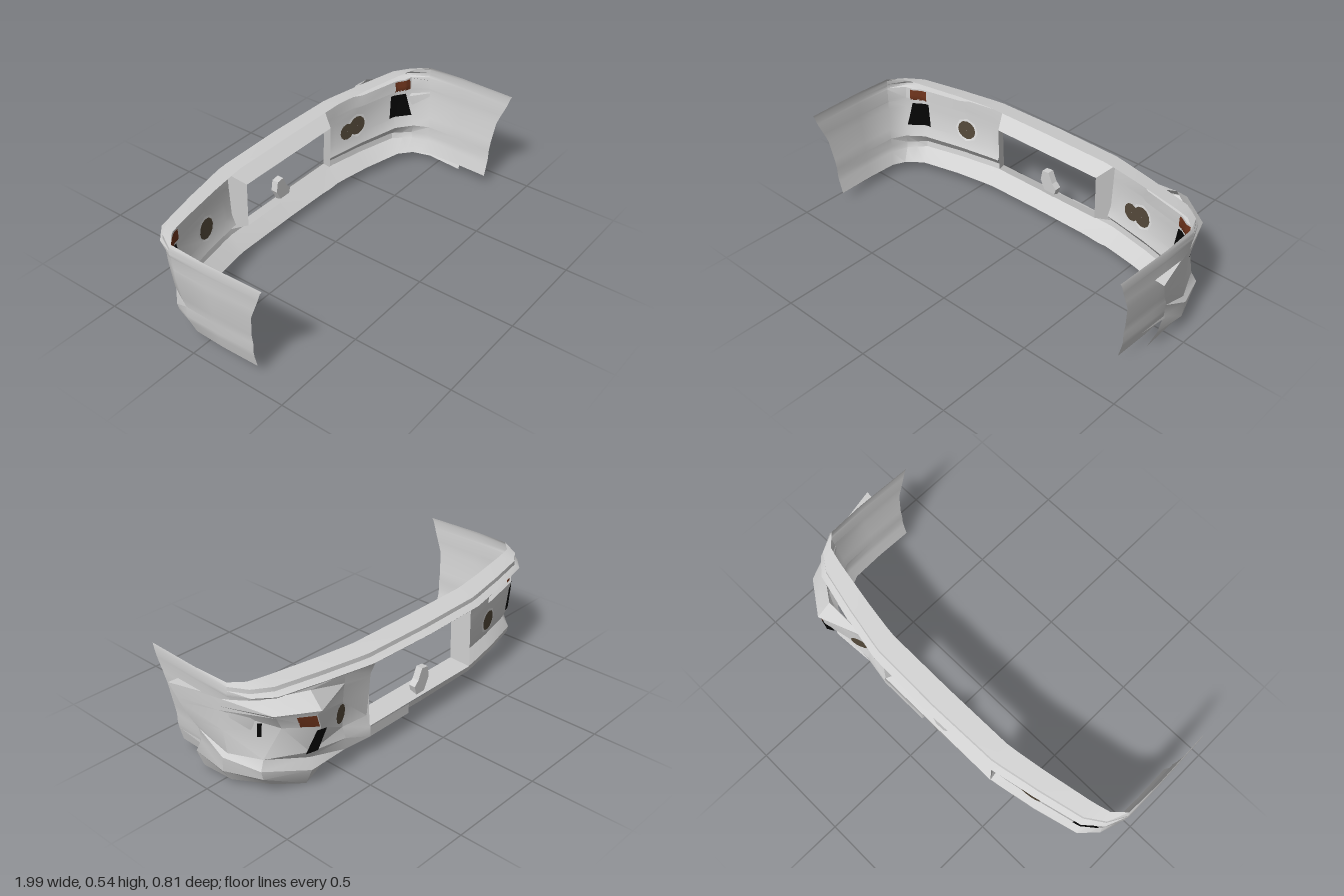
import * as THREE from 'three';
import { toCreasedNormals } from 'three/addons/utils/BufferGeometryUtils.js';

const CX = -0.03; // centre line of the undamaged shell

// Plan stations for one half: outer x, outer z, inner x, inner z, side blend
const STATIONS = [
  [0, -0.385, 0, -0.245, 0], [0.36, -0.376, 0.36, -0.242, 0], [0.42, -0.365, 0.42, -0.235, 0],
  [0.56, -0.335, 0.55, -0.215, 0], [0.6, -0.328, 0.59, -0.208, 0], [0.84, -0.27, 0.79, -0.16, 0.1],
  [0.88, -0.235, 0.83, -0.13, 0.3], [0.92, -0.2, 0.87, -0.1, 0.5], [0.965, -0.1, 0.9, -0.04, 0.9],
  [0.965, 0.1, 0.905, 0.12, 1], [0.955, 0.4, 0.9, 0.31, 1],
];
// Section rows: y, inset at the front, inset at the sides, z of the free end
const ROWS = [
  [0.54, 1, 0.1, 0.4], [0.525, 0.3, 0.05, 0.392], [0.505, 0.28, 0.05, 0.385], [0.49, 0.04, 0.05, 0.38],
  [0.482, 0.1, 0.06, 0.377], [0.475, 0.35, 0.07, 0.375], [0.415, 0.38, 0.15, 0.35], [0.405, 0.38, 0.15, 0.346],
  [0.365, 0.4, 0.2, 0.33], [0.25, 0.45, 0.45, 0.315], [0.2, 0.62, 0.6, 0.313], [0.15, 0.3, 0.6, 0.312],
  [0.12, 0.34, 0.7, 0.311], [0.055, 0.9, 1, 0.31],
];
const lerp = THREE.MathUtils.lerp;

// Shell grid for one side, with the signal recess
function shellGrid(s) {
  return STATIONS.map(([ox, oz, ix, iz, blend], i) => ROWS.map(([y, kf, ks, end], j) => {
    const k = lerp(kf, ks, blend);
    let z = i === STATIONS.length - 1 ? end : lerp(oz, iz, k);
    if (i > 3 && i < 7 && (j === 5 || j === 6)) z += 0.02;
    return [CX + s * lerp(ox, ix, k), y, z];
  }));
}

// Crushed outer skin: columns from the opening round to the torn edge
const CRUSHED = [
  [[0.33, 0.49, -0.372], [0.33, 0.43, -0.345], [0.33, 0.41, -0.342], [0.33, 0.33, -0.335], [0.33, 0.2, -0.32], [0.33, 0.15, -0.345], [0.33, 0.1, -0.345], [0.3, 0.035, -0.27]],
  [[0.47, 0.48, -0.325], [0.47, 0.43, -0.322], [0.47, 0.41, -0.318], [0.47, 0.33, -0.31], [0.47, 0.2, -0.305], [0.47, 0.15, -0.325], [0.47, 0.09, -0.32], [0.5, 0.055, -0.26]],
  [[0.68, 0.495, -0.33], [0.69, 0.43, -0.405], [0.7, 0.412, -0.388], [0.68, 0.337, -0.387], [0.7, 0.2, -0.338], [0.68, 0.15, -0.31], [0.69, 0.1, -0.336], [0.68, 0, -0.285]],
  [[0.86, 0.475, -0.21], [0.855, 0.428, -0.29], [0.84, 0.412, -0.29], [0.8, 0.34, -0.275], [0.865, 0.19, -0.225], [0.89, 0.145, -0.235], [0.88, 0.1, -0.235], [0.82, 0.04, -0.225]],
  [[0.94, 0.46, -0.07], [0.945, 0.42, -0.05], [0.945, 0.4, -0.05], [0.938, 0.3, -0.06], [0.93, 0.185, -0.07], [0.95, 0.168, -0.06], [0.945, 0.09, -0.05], [0.9, 0.022, -0.05]],
  [[1, 0.455, 0.205], [0.985, 0.39, 0.175], [0.98, 0.365, 0.165], [0.965, 0.3, 0.125], [0.945, 0.245, 0.09], [0.94, 0.18, 0.09], [0.94, 0.11, 0.13], [0.9, 0.01, 0.135]],
];

// Quads between neighbouring columns; skip(i, j) leaves a hole
function loft(grid, skip = () => false) {
  const pos = [];
  for (let i = 0; i < grid.length - 1; i++) for (let j = 0; j < grid[i].length - 1; j++) {
    if (skip(i, j)) continue;
    const a = grid[i][j], b = grid[i + 1][j], c = grid[i + 1][j + 1], d = grid[i][j + 1];
    pos.push(...a, ...d, ...b, ...b, ...d, ...c);
  }
  const g = new THREE.BufferGeometry();
  g.setAttribute('position', new THREE.Float32BufferAttribute(pos, 3));
  return toCreasedNormals(g, 0.5);
}

// Depth of a shell grid at a given x and y
function depthAt(grid, s, x, y) {
  let j = 0;
  while (j < ROWS.length - 2 && ROWS[j + 1][0] > y) j++;
  const f = (ROWS[j][0] - y) / (ROWS[j][0] - ROWS[j + 1][0]);
  for (let i = 0; i < grid.length - 1; i++) {
    const [p, q] = [grid[i], grid[i + 1]].map((c) => [lerp(c[j][0], c[j + 1][0], f), lerp(c[j][2], c[j + 1][2], f)]);
    if (s * x <= s * q[0]) return lerp(p[1], q[1], (x - p[0]) / (q[0] - p[0]));
  }
  return grid[8][j][2];
}

// Point on a grid at fractional column and row
function gridPoint(grid, t, v) {
  const i = Math.floor(t), j = Math.floor(v);
  return [0, 1, 2].map((n) => lerp(lerp(grid[i][j][n], grid[i + 1][j][n], t - i), lerp(grid[i][j + 1][n], grid[i + 1][j + 1][n], t - i), v - j));
}

export function createModel() {
  const group = new THREE.Group();
  const material = (name, color) => {
    const m = new THREE.MeshStandardMaterial({ color, side: THREE.DoubleSide });
    m.name = name;
    return m;
  };
  const grey = material('bumper grey', 0xd0d0d0);
  const pale = material('lamp rim pale grey', 0xe2e2e2);
  const amber = material('signal amber', 0x6e341c);
  const black = material('vent black', 0x050505);
  const lampBrown = material('lamp brown', 0x54493a);
  const add = (name, geometry, mat) => {
    const mesh = new THREE.Mesh(geometry, mat);
    mesh.name = name;
    group.add(mesh);
    return mesh;
  };

  for (const s of [-1, 1]) {
    const side = s > 0 ? 'left' : 'right';
    const grid = shellGrid(s);
    // Shell half with the plate opening
    add(side + 'Shell', loft(grid, (i, j) => i === 0 && j > 4 && j < 11), grey);

    // Painted details hug the shell: both faces, or only the inside under the crushed skin.
    // Taper widens them downwards
    const hug = (name, geometry, cx, cy, mat, gap = 0.0045, taper = 0) => {
      for (const d of s > 0 ? [gap] : [-gap, gap]) {
        const g = geometry.clone();
        const p = g.attributes.position;
        for (let i = 0; i < p.count; i++) {
          const y = cy + p.getY(i);
          const x = cx + p.getX(i) * (1 - taper * p.getY(i));
          p.setXYZ(i, x, y, depthAt(grid, s, x, y) + d);
        }
        g.computeVertexNormals();
        add(side + name, g, mat);
      }
    };
    const lampX = CX + s * 0.567;
    hug('LampLens', new THREE.RingGeometry(0.001, 0.052, 12, 4), lampX, 0.306, lampBrown);
    hug('LampRim', new THREE.RingGeometry(0.05, 0.066, 8, 1), lampX, 0.306, pale, 0.003);
    hug('Signal', new THREE.PlaneGeometry(0.082, 0.058, 12, 4), s > 0 ? 0.823 : -0.867, 0.441, amber);
    hug('Vent', new THREE.PlaneGeometry(0.092, 0.126, 12, 8), s > 0 ? 0.808 : -0.867, 0.323, black, 0.0045, 2.6);
    if (s > 0) hug('CrushedLampBack', new THREE.RingGeometry(0.001, 0.045, 12, 4), 0.468, 0.295, lampBrown);
  }

  // Walls tapering inwards from the plate opening
  const rim = (x0, x1, y0, y1, z0, z1) => [[x0, y0, z0], [x1, y0, z0], [x1, y1, z1], [x0, y1, z1], [x0, y0, z0]];
  const outerRim = rim(CX - 0.36, CX + 0.36, 0.15, 0.475, -0.338, -0.33);
  const innerRim = rim(-0.345, 0.28, 0.187, 0.423, -0.255, -0.25);
  add('openingFrame', loft(outerRim.map((p, i) => [p, innerRim[i]])), grey);

  // Small bracket at the lower edge of the opening
  const tab = new THREE.Shape([[-0.02, 0], [-0.055, 0.07], [-0.045, 0.125], [-0.005, 0.13], [0.02, 0.075], [0.045, 0.05], [0.03, 0]].map(([x, y]) => new THREE.Vector2(x, y)));
  const bracket = add('plateBracket', new THREE.ExtrudeGeometry(tab, { depth: 0.035, bevelEnabled: false }), grey);
  bracket.position.set(-0.04, 0.152, -0.325);

  // Crushed skin wrapped over the left corner, and the sagging lip under the opening
  add('crushedSkin', loft(CRUSHED), grey);
  add('saggingLip', loft([[[0.07, 0.15, -0.346], [0.07, 0.1, -0.345], [0.07, 0.057, -0.265]], CRUSHED[0].slice(5)]), grey);
  const crushedPatch = (name, t0, t1, v0, v1, mat, dx, dz) => {
    const cols = [t0, t1].map((t) => [v0, v1].map((v) => {
      const [x, y, z] = gridPoint(CRUSHED, t, v);
      return [x + dx, y, z + dz];
    }));
    add(name, loft(cols), mat);
  };
  crushedPatch('crushedSignal', 2.03, 2.52, 2.05, 2.88, amber, 0.003, -0.005);
  crushedPatch('crushedVent', 1.88, 2.18, 3.04, 3.97, black, 0, -0.021);
  crushedPatch('ventSliver', 3.28, 3.36, 2.5, 3.25, black, 0.006, -0.003);

  // Displaced lamp in the dent
  const lens = add('crushedLamp', new THREE.CircleGeometry(0.045, 12), lampBrown);
  lens.position.set(0.505, 0.295, -0.331);
  lens.rotation.y = 0.35;

  // Torn folds standing off the crushed side
  const fold = (name, a, b, c) => add(name, loft([[a, b], [c, b]]), grey);
  fold('upperFold', [0.95, 0.455, 0.2], [0.96, 0.463, 0.03], [1, 0.455, 0.205]);
  fold('lowerFold', [0.93, 0.17, 0.24], [0.945, 0.187, 0.09], [0.945, 0.17, 0.09]);
  return group;
}
